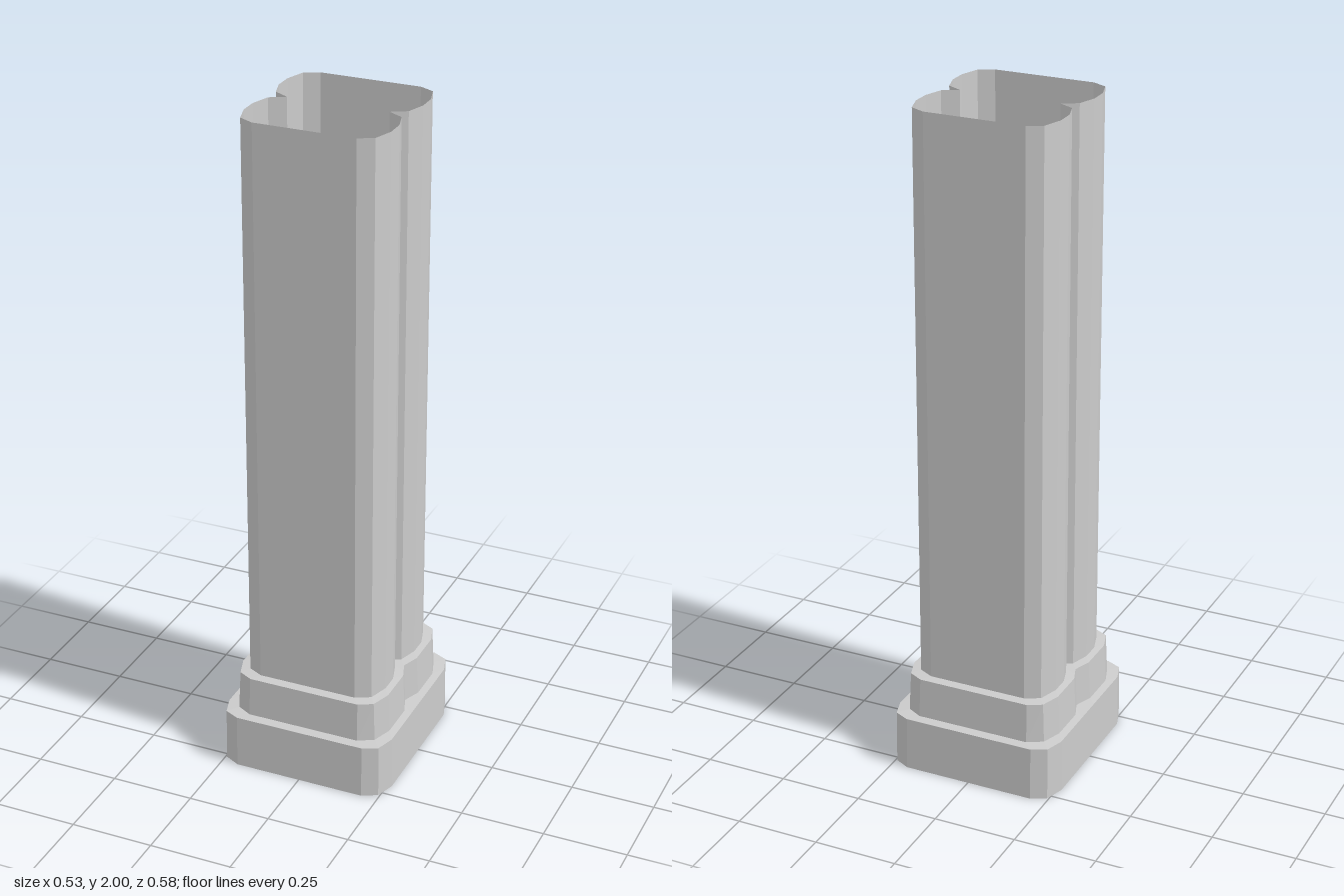
import * as THREE from 'three';

// Quarter outlines as [x, z], from the side notch round to the front wall.
const shaftOutline = [[0.15, 0], [0.195, 0.025], [0.213, 0.083], [0.213, 0.139], [0.194, 0.2], [0.15, 0.222]];
const collarTop = [[0.214, 0], [0.223, 0.025], [0.233, 0.053], [0.233, 0.168], [0.213, 0.228], [0.171, 0.25]];
const collarBottom = [[0.219, 0], [0.228, 0.025], [0.239, 0.053], [0.239, 0.17], [0.218, 0.231], [0.173, 0.256]];
const baseTop = [[0.262, 0], [0.262, 0.03], [0.262, 0.06], [0.262, 0.207], [0.244, 0.264], [0.2, 0.285]];
const baseBottom = [[0.264, 0], [0.264, 0.03], [0.264, 0.06], [0.264, 0.207], [0.245, 0.265], [0.2, 0.288]];

// Mirrors a quarter outline into a full closed ring.
function ring(quarter) {
  const flip = (pts, sx, sz) => pts.map(([x, z]) => [x * sx, z * sz]);
  const back = [...quarter].reverse();
  return [
    ...quarter,
    ...flip(back, -1, 1),
    ...flip(quarter.slice(1), -1, -1),
    ...flip(back.slice(0, -1), 1, -1),
  ];
}

// Open band of quads between two outlines at two heights.
function band(name, lower, y0, upper, y1, material) {
  const a = ring(lower), b = ring(upper), n = a.length;
  const positions = [], index = [];
  for (let i = 0; i < n; i++) {
    positions.push(a[i][0], y0, a[i][1], b[i][0], y1, b[i][1]);
    const p = 2 * i, q = 2 * ((i + 1) % n);
    index.push(p, p + 1, q, q, p + 1, q + 1);
  }
  const indexed = new THREE.BufferGeometry();
  indexed.setAttribute('position', new THREE.Float32BufferAttribute(positions, 3));
  indexed.setIndex(index);
  const geometry = indexed.toNonIndexed();
  geometry.computeVertexNormals();
  const mesh = new THREE.Mesh(geometry, material);
  mesh.name = name;
  return mesh;
}

export function createModel() {
  const group = new THREE.Group();
  group.name = 'hollowColumn';
  const material = new THREE.MeshStandardMaterial({
    color: 0xcccccc, flatShading: true, side: THREE.DoubleSide,
  });
  group.add(
    // Stepped foot, open underneath
    band('base', baseBottom, 0, baseTop, 0.163, material),
    band('baseLedge', baseTop, 0.163, collarBottom, 0.165, material),
    band('collar', collarBottom, 0.165, collarTop, 0.285, material),
    band('collarLedge', collarTop, 0.285, shaftOutline, 0.287, material),
    // Tall notched tube, open at the top
    band('shaft', shaftOutline, 0.287, shaftOutline, 2, material),
  );
  return group;
}
